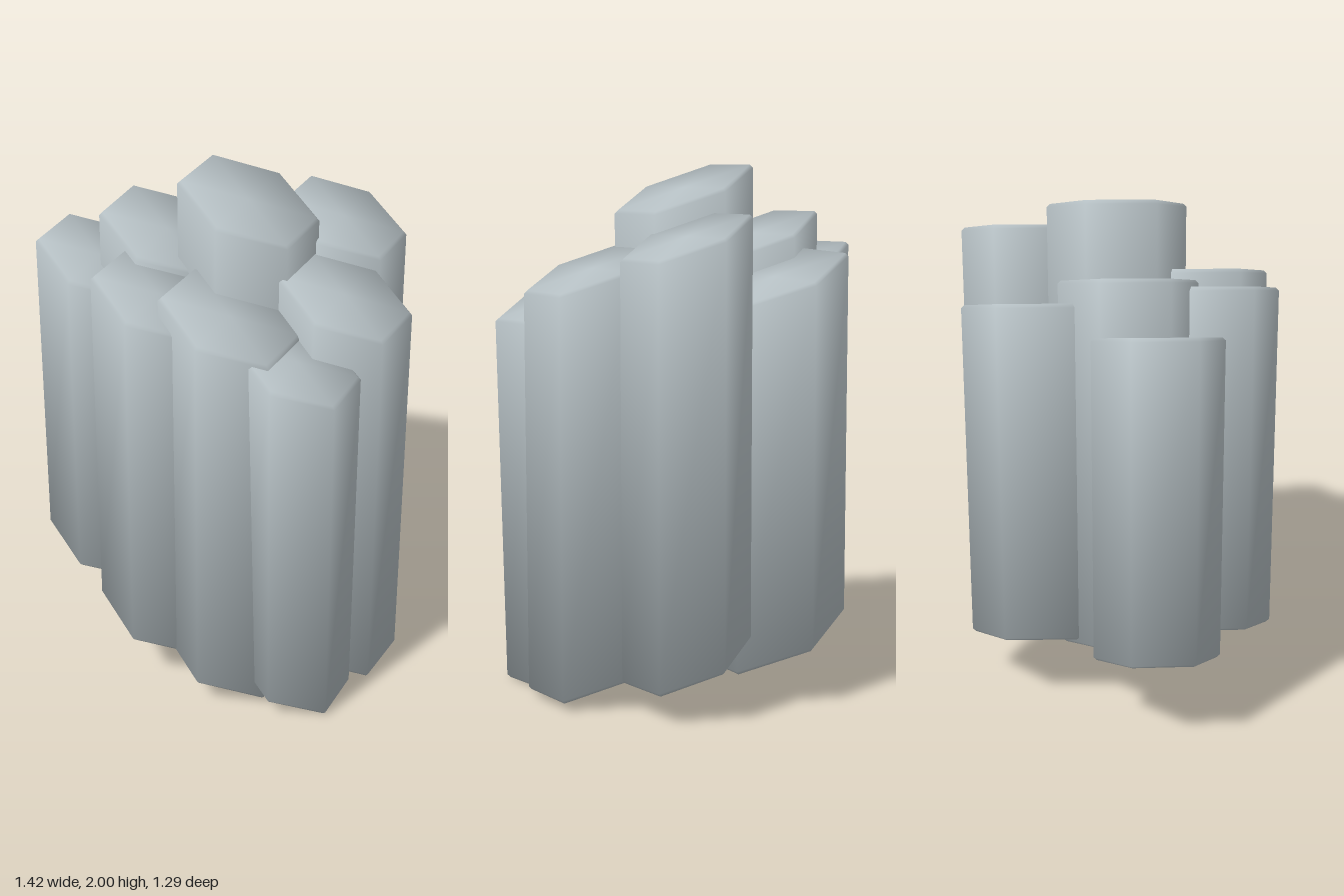
import * as THREE from 'three';

// Shared tilt of every column end: height change per unit of x and z
const SLOPE_X = -0.3, SLOPE_Z = -0.2;
const CAP_NORMAL = new THREE.Vector3(-SLOPE_X, 1, -SLOPE_Z).normalize();

// Hexagonal column with tilted ends, a thin bevel and softly rounded shading
function columnGeometry({ x, z, r, top, bottom, rot = 0, foot = {} }) {
  const base = { x, z, r, ...foot };
  const head = { x, z, r };
  // rings from bottom to top: [centre, height, inset, lift, normal's lean towards the cap]
  const rings = [
    [base, bottom, 0.012, 0, -0.9],
    [base, bottom, 0, 0.012, -0.52],
    [head, top, 0, -0.012, 0.52],
    [head, top, 0.012, 0, 0.9],
  ];
  const pos = [], normal = [], index = [];
  for (const [c, y, inset, lift, lean] of rings) {
    for (let i = 0; i < 6; i++) {
      const a = i * Math.PI / 3 + rot;
      const dx = Math.cos(a), dz = Math.sin(a), q = c.r - inset;
      const tilt = c.r * (dx * SLOPE_X + dz * SLOPE_Z);
      pos.push(c.x + dx * q, y + tilt + lift, c.z + dz * q);
      const n = new THREE.Vector3(dx, 0, dz).multiplyScalar(Math.cos(lean));
      n.addScaledVector(CAP_NORMAL, Math.sin(lean)).normalize();
      normal.push(n.x, n.y, n.z);
    }
  }
  const bottomCentre = pos.length / 3, topCentre = bottomCentre + 1;
  pos.push(base.x, bottom, base.z, head.x, top, head.z);
  const { x: nx, y: ny, z: nz } = CAP_NORMAL;
  normal.push(-nx, -ny, -nz, nx, ny, nz);

  for (let i = 0; i < 6; i++) {
    const n = (i + 1) % 6;
    for (let j = 0; j < 3; j++) {
      const a = j * 6 + i, b = j * 6 + n;
      index.push(a, a + 6, b, b, a + 6, b + 6);
    }
    index.push(bottomCentre, i, n);
    index.push(topCentre, 18 + n, 18 + i);
  }
  const geo = new THREE.BufferGeometry();
  geo.setAttribute('position', new THREE.Float32BufferAttribute(pos, 3));
  geo.setAttribute('normal', new THREE.Float32BufferAttribute(normal, 3));
  geo.setIndex(index);
  return geo;
}

export function createModel() {
  const model = new THREE.Group();
  model.name = 'basaltColumns';
  const stone = new THREE.MeshStandardMaterial({ color: 0xb5bfc3 });
  stone.name = 'grey stone';

  const columns = {
    centreColumn: { x: 0.093, z: -0.028, r: 0.263, top: 1.917, bottom: 0.13 },
    backColumn: { x: 0.089, z: -0.392, r: 0.282, top: 1.592, bottom: 0.213, rot: 0.07 },
    backLeftColumn: { x: 0.467, z: -0.21, r: 0.24, top: 1.76, bottom: 0.183 },
    frontLeftColumn: { x: 0.438, z: 0.188, r: 0.252, top: 1.63, bottom: 0.105, rot: 0.02 },
    frontColumn: {
      x: 0.25, z: 0.442, r: 0.232, top: 1.492, bottom: 0.073, rot: -0.02,
      foot: { x: 0.26, z: 0.415, r: 0.225 },
    },
    frontMiddleColumn: { x: 0.012, z: 0.306, r: 0.26, top: 1.61, bottom: 0.107, rot: 0.01 },
    frontRightColumn: { x: -0.246, z: 0.178, r: 0.246, top: 1.64, bottom: 0.22 },
    middleRightColumn: { x: -0.206, z: -0.182, r: 0.258, top: 1.73, bottom: 0.24, rot: -0.03 },
    backRightColumn: { x: -0.469, z: -0.234, r: 0.242, top: 1.6, bottom: 0.295, rot: -0.02 },
  };
  for (const [name, spec] of Object.entries(columns)) {
    const mesh = new THREE.Mesh(columnGeometry(spec), stone);
    mesh.name = name;
    model.add(mesh);
  }
  return model;
}
